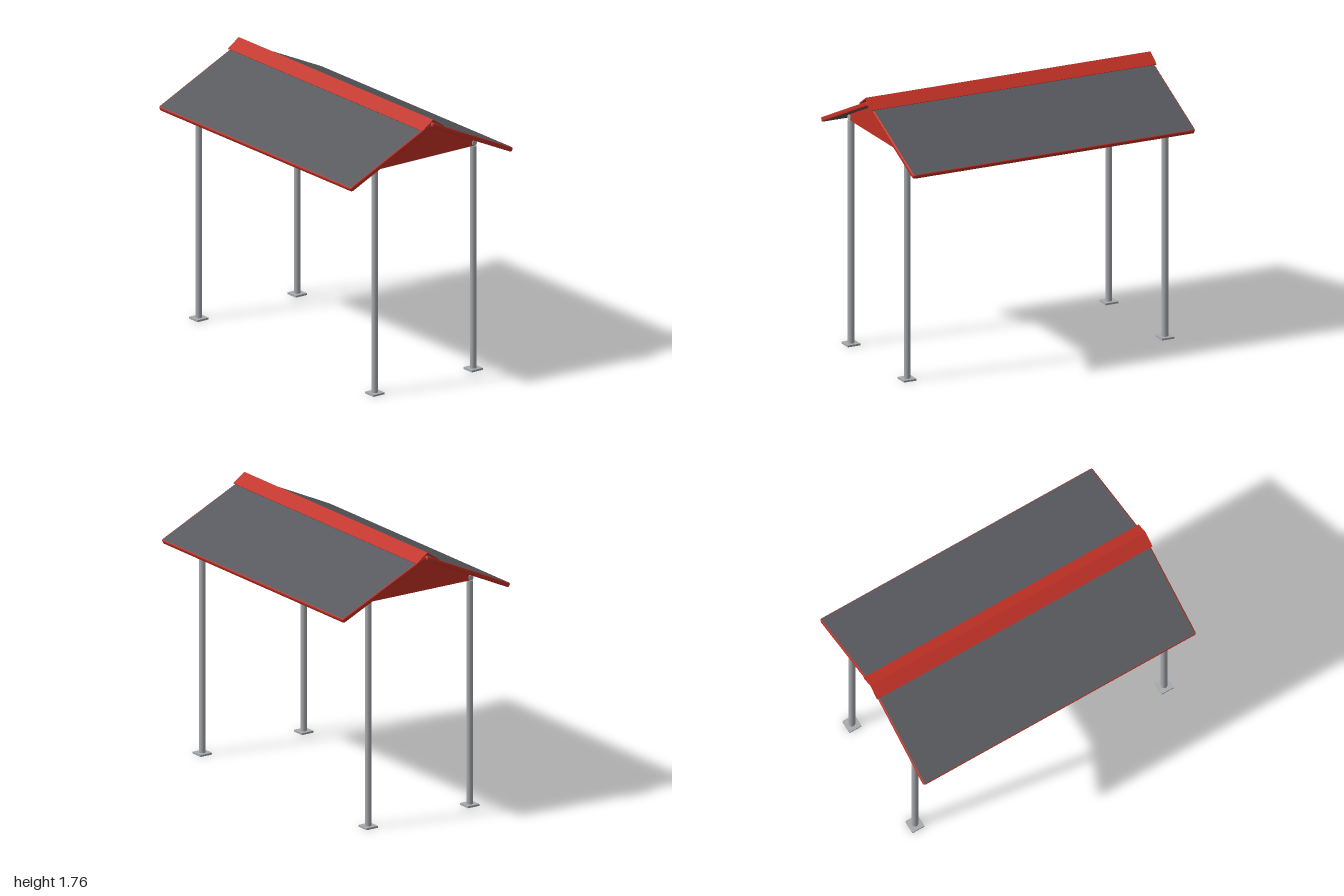
import * as THREE from 'three';

const red = new THREE.MeshStandardMaterial({ color: 0xc03025 });
red.name = 'red trim';
const slate = new THREE.MeshStandardMaterial({ color: 0x58595e });
slate.name = 'slate grey';
const steel = new THREE.MeshStandardMaterial({ color: 0xa6a9ad });
steel.name = 'steel grey';

const POST_X = 0.905, POST_Z = 0.387;
const RIDGE_Y = 1.717, EAVE_Y = 1.42, EAVE_Z = 0.638; // middle of the roof panel

function add(parent, name, geometry, material, x = 0, y = 0, z = 0) {
  const mesh = new THREE.Mesh(geometry, material);
  mesh.name = name;
  mesh.position.set(x, y, z);
  parent.add(mesh);
  return mesh;
}

function roundedRect(w, h, r) {
  const s = new THREE.Shape();
  s.absarc(w / 2 - r, h / 2 - r, r, 0, Math.PI / 2);
  s.absarc(-w / 2 + r, h / 2 - r, r, Math.PI / 2, Math.PI);
  s.absarc(-w / 2 + r, -h / 2 + r, r, Math.PI, Math.PI * 1.5);
  s.absarc(w / 2 - r, -h / 2 + r, r, Math.PI * 1.5, Math.PI * 2);
  s.closePath();
  return s;
}

// Extrudes a (z, y) outline along x, centred on x = 0
function extrudeAlongX(points, length) {
  const shape = new THREE.Shape(points.map(([z, y]) => new THREE.Vector2(-z, y)));
  const g = new THREE.ExtrudeGeometry(shape, { depth: length, bevelEnabled: false });
  g.translate(0, 0, -length / 2);
  g.rotateY(Math.PI / 2);
  return g;
}

export function createModel() {
  const model = new THREE.Group();
  model.name = 'shelter';

  // Roof panels: slate faces with a softly rounded red rim
  const rise = RIDGE_Y - EAVE_Y;
  const slope = Math.atan2(rise, EAVE_Z);
  const length = Math.hypot(rise, EAVE_Z);
  const bevel = 0.008, thickness = 0.03;
  const panelGeometry = new THREE.ExtrudeGeometry(
    roundedRect(1.98 - 2 * bevel, length - 2 * bevel, 0.008),
    { depth: thickness - 2 * bevel, bevelThickness: bevel, bevelSize: bevel, bevelSegments: 3, curveSegments: 4 }
  );
  panelGeometry.translate(0, 0, bevel - thickness / 2);
  for (const side of ['front', 'back']) {
    const half = new THREE.Group();
    half.name = side + 'Roof';
    const panel = add(half, side + 'RoofPanel', panelGeometry, [slate, red],
      0, (RIDGE_Y + EAVE_Y) / 2, EAVE_Z / 2);
    panel.rotation.x = slope - Math.PI / 2;
    if (side === 'back') half.rotation.y = Math.PI;
    model.add(half);
  }

  // Folded ridge cap
  add(model, 'ridgeCap', extrudeAlongX([
    [0.085, 1.699], [0, 1.758], [-0.085, 1.699], [-0.08, 1.694], [0, 1.748], [0.08, 1.694],
  ], 2), red);

  // Gable boards
  const gable = extrudeAlongX([
    [0.385, 1.482], [0.385, 1.525], [0, 1.702], [-0.385, 1.525], [-0.385, 1.482],
  ], 0.02);
  for (const x of [-POST_X, POST_X]) add(model, 'gableBoard', gable, red, x);

  // Posts with foot plates
  const post = new THREE.CylinderGeometry(0.021, 0.021, 1.48, 20);
  const foot = new THREE.BoxGeometry(0.088, 0.012, 0.088);
  for (const x of [-POST_X, POST_X]) {
    for (const z of [-POST_Z, POST_Z]) {
      add(model, 'post', post, steel, x, 0.74, z);
      add(model, 'footPlate', foot, steel, x, 0.006, z);
    }
  }

  // Long beams under the eaves and the ridge
  const beam = new THREE.CylinderGeometry(0.018, 0.018, 2 * POST_X + 0.03, 16);
  beam.rotateZ(Math.PI / 2);
  for (const z of [-POST_Z, POST_Z]) add(model, 'sideBeam', beam, steel, 0, 1.5, z);
  const ridgeBeam = new THREE.CylinderGeometry(0.018, 0.018, 2 * POST_X, 16);
  ridgeBeam.rotateZ(Math.PI / 2);
  add(model, 'ridgeBeam', ridgeBeam, steel, 0, 1.67, 0);

  // Hanging rod with a small end disc
  add(model, 'hangingRod', new THREE.CylinderGeometry(0.004, 0.004, 0.38, 10), steel, 0, 1.49, 0.038);
  add(model, 'rodEnd', new THREE.CylinderGeometry(0.016, 0.016, 0.012, 16), steel, 0, 1.3, 0.038);

  return model;
}
